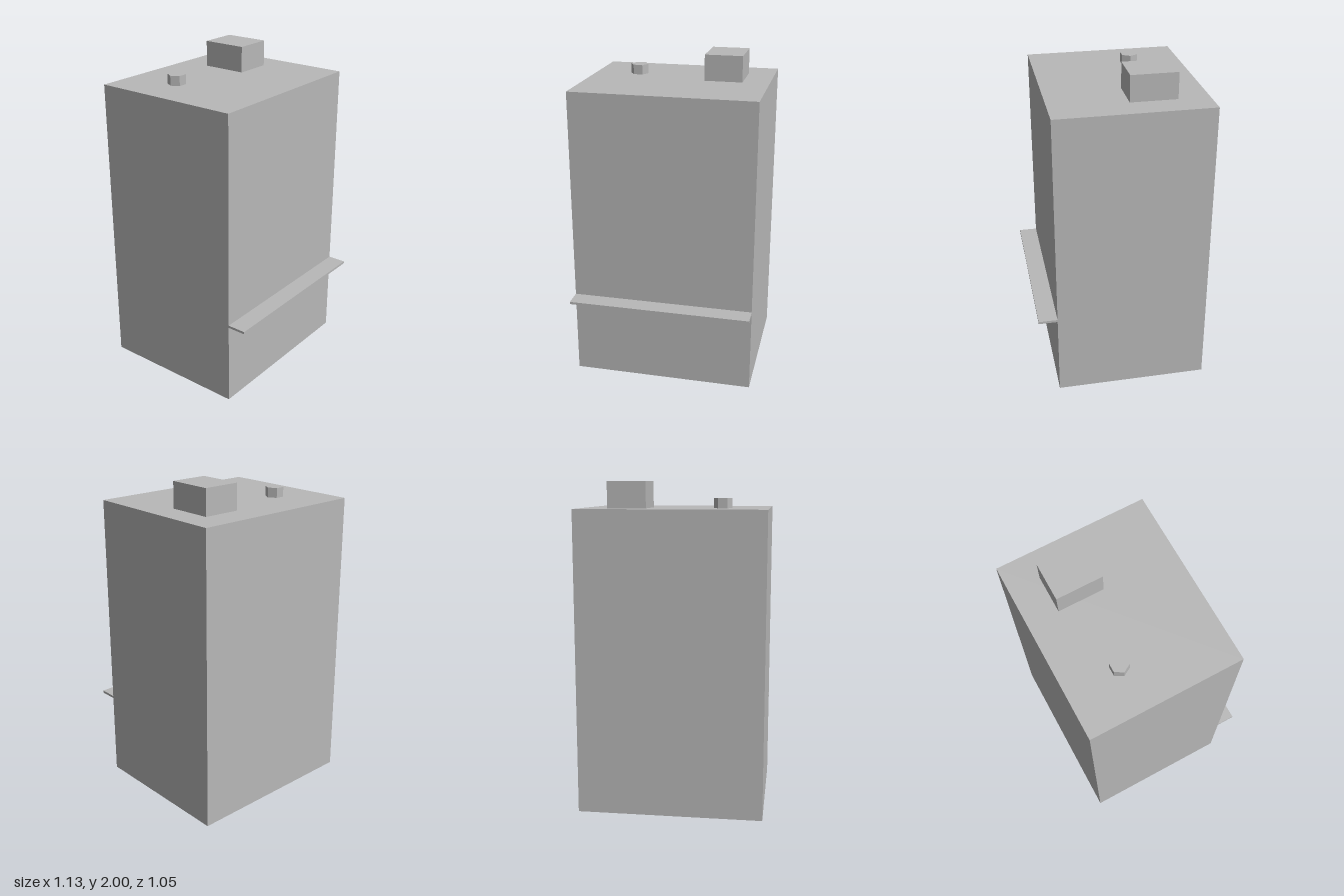
import * as THREE from 'three';

export function createModel() {
  const model = new THREE.Group();
  const grey = new THREE.MeshStandardMaterial({ color: 0xb8b8b8, side: THREE.DoubleSide });
  grey.name = 'plain grey';

  const add = (name, geometry) => {
    const mesh = new THREE.Mesh(geometry, grey);
    mesh.name = name;
    model.add(mesh);
    return mesh;
  };
  // Box given by its lower and upper limits on each axis
  const block = (name, x0, x1, y0, y1, z0, z1) => {
    const mesh = add(name, new THREE.BoxGeometry(x1 - x0, y1 - y0, z1 - z0));
    mesh.position.set((x0 + x1) / 2, (y0 + y1) / 2, (z0 + z1) / 2);
    return mesh;
  };

  // Building shell: a thin-walled box, open underneath
  const shell = block('buildingShell', -0.563, 0.563, 0, 1.84, -0.527, 0.41);
  const faces = Array.from(shell.geometry.index.array);
  faces.splice(18, 6); // drop the bottom face
  shell.geometry.setIndex(faces);
  shell.geometry.clearGroups();

  // Canopy across the front
  block('canopy', -0.563, 0.563, 0.518, 0.533, 0.41, 0.525);

  // Rooftop housing and hexagonal vent
  block('roofHousing', 0.163, 0.397, 1.84, 2, -0.338, -0.057);
  const vent = add('roofVent', new THREE.CylinderGeometry(0.056, 0.056, 0.06, 6).toNonIndexed());
  vent.geometry.computeVertexNormals();
  vent.rotation.y = Math.PI / 6;
  vent.position.set(-0.284, 1.87, -0.2);

  // Three shopfront panels standing on the inside of the front wall
  for (const x of [-0.377, 0, 0.377]) {
    block('shopfrontPanel', x - 0.156, x + 0.156, 0.283, 0.513, 0.385, 0.408);
  }

  return model;
}
